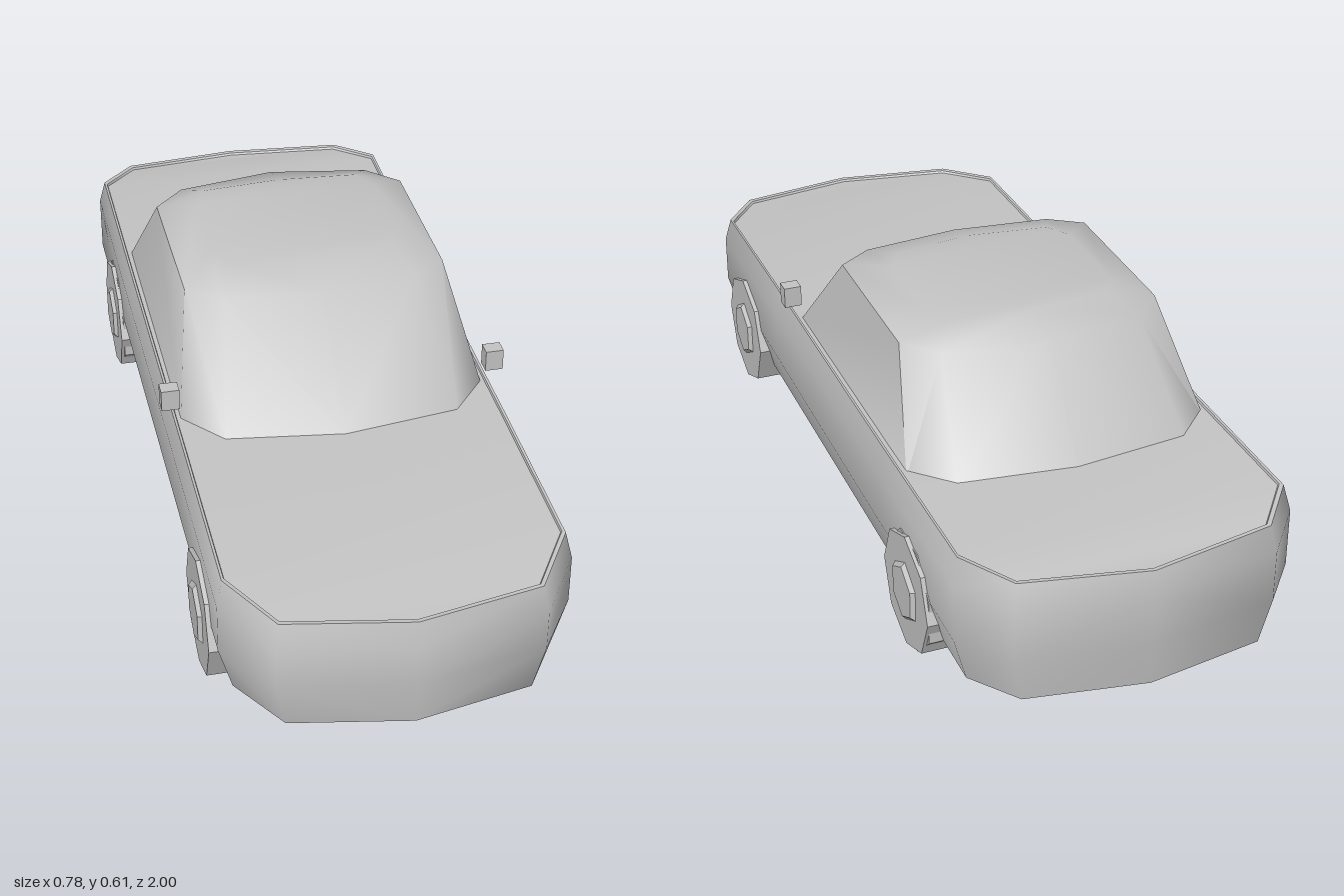
import * as THREE from 'three';
import { toCreasedNormals } from 'three/addons/utils/BufferGeometryUtils.js';

const paint = new THREE.MeshStandardMaterial({ color: 0xc4c4c4 });
paint.name = 'plain grey';

// Lofts mirrored half outlines (points [x, y, z] on +x, front to back), lowest first.
function loft(rings, crease) {
  const n = rings[0].length, pos = [], idx = [];
  for (const ring of rings) {
    for (const [x, y, z] of ring) pos.push(x, y, z);
    for (const [x, y, z] of ring) pos.push(-x, y, z);
  }
  const at = (r, i, mirrored) => r * 2 * n + (mirrored ? n : 0) + i;
  const last = rings.length - 1;
  for (let i = 0; i < n - 1; i++) {
    for (let r = 0; r < last; r++) {
      let a = at(r, i), b = at(r, i + 1), c = at(r + 1, i + 1), d = at(r + 1, i);
      idx.push(a, b, c, a, c, d);
      a += n; b += n; c += n; d += n;
      idx.push(a, c, b, a, d, c);
    }
    // bottom and top caps, strip by strip across the car
    for (const r of [0, last]) {
      const a = at(r, i), b = at(r, i + 1), c = at(r, i + 1, true), d = at(r, i, true);
      const tris = [];
      if (i > 0) tris.push([a, b, d]);
      if (i > 0 && i < n - 2) tris.push([b, c, d]);
      if (i === 0) tris.push([a, b, c]);
      for (const [p, q, s] of tris) r === 0 ? idx.push(p, s, q) : idx.push(p, q, s);
    }
  }
  const g = new THREE.BufferGeometry();
  g.setAttribute('position', new THREE.Float32BufferAttribute(pos, 3));
  g.setIndex(idx);
  return toCreasedNormals(g, crease);
}

function add(parent, name, geometry, x = 0, y = 0, z = 0) {
  const mesh = new THREE.Mesh(geometry, paint);
  mesh.name = name;
  mesh.position.set(x, y, z);
  parent.add(mesh);
  return mesh;
}

// Faceted disc with its axis along x; turn rotates its corners.
function disc(rOuter, rInner, width, sides, turn, side) {
  const g = new THREE.CylinderGeometry(rOuter, rInner, width, sides).toNonIndexed();
  g.rotateY(turn);
  g.rotateZ(side > 0 ? -Math.PI / 2 : Math.PI / 2);
  g.computeVertexNormals();
  return g;
}

export function createModel() {
  const car = new THREE.Group();
  car.name = 'car';

  // Body: plan outline [x, z, top height] from nose to tail
  const plan = [
    [0, 0.995, 0.335], [0.28, 0.945, 0.338], [0.37, 0.81, 0.357], [0.37, 0.37, 0.365],
    [0.37, -0.4, 0.37], [0.37, -0.85, 0.378], [0.285, -0.955, 0.363], [0, -1, 0.353],
  ];
  const level = (sx, sz, height) => plan.map(([x, z, top]) => [x * sx, height(top), z * sz]);
  add(car, 'body', loft([
    level(0.92, 0.99, () => 0.08),
    level(1, 1, () => 0.185),
    level(1, 1, (t) => t - 0.06),
    level(0.965, 0.985, (t) => t - 0.002),
    level(0.95, 0.975, (t) => t - 0.003),
    level(0.945, 0.972, (t) => t - 0.008),
  ], 0.85));

  // Cabin: base, roof edge and roof panel
  const ring = (pts, y) => pts.map(([x, z]) => [x, y, z]);
  add(car, 'cabin', loft([
    ring([[0, 0.37], [0.26, 0.333], [0.342, 0.235], [0.342, -0.5], [0.26, -0.587], [0, -0.62]], 0.352),
    ring([[0, 0.125], [0.22, 0.1], [0.295, 0.05], [0.295, -0.33], [0.225, -0.4], [0, -0.44]], 0.575),
    ring([[0, 0.03], [0.18, 0.005], [0.215, -0.05], [0.215, -0.27], [0.18, -0.33], [0, -0.345]], 0.605),
  ], 0.8));

  for (const side of [1, -1]) {
    const label = side > 0 ? 'left' : 'right';
    for (const [end, z] of [['Front', 0.62], ['Rear', -0.59]]) {
      const wheel = new THREE.Group();
      wheel.name = label + end + 'Wheel';
      wheel.position.set(side * 0.335, 0.135, z);
      add(wheel, 'tyre', disc(0.135, 0.135, 0.09, 8, 0, side));
      add(wheel, 'hubCap', disc(0.062, 0.075, 0.012, 6, Math.PI / 2, side), side * 0.048);
      // Rear wheels carry a second, twisted drum behind the tyre
      if (end === 'Rear') add(wheel, 'innerDrum', disc(0.134, 0.134, 0.075, 8, 0.38, side));
      car.add(wheel);
    }
    add(car, label + 'Mirror', new THREE.BoxGeometry(0.04, 0.049, 0.034), side * 0.365, 0.4225, 0.235);
  }
  return car;
}
